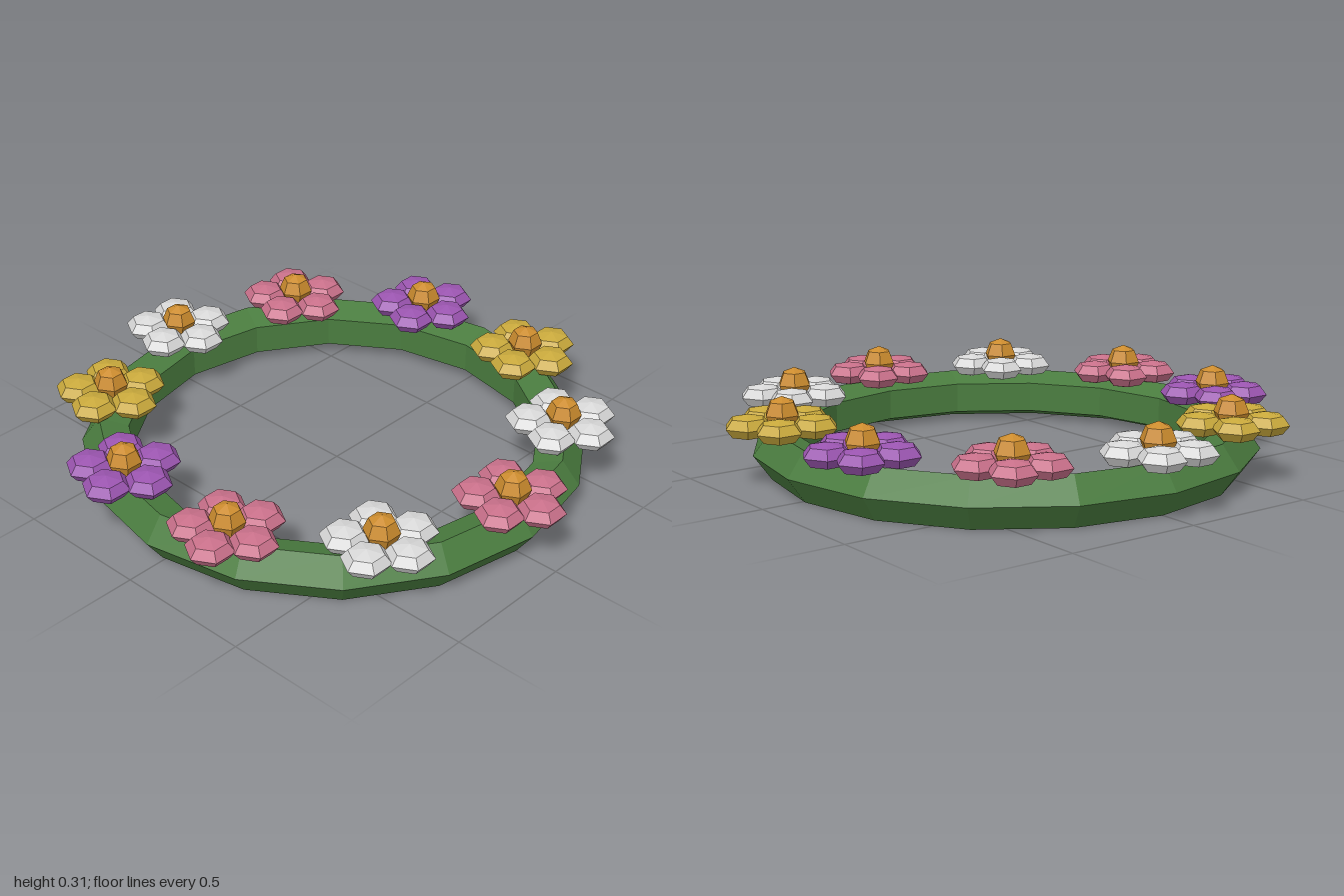
import * as THREE from 'three';

const flat = (name, color) => {
  const m = new THREE.MeshStandardMaterial({ color });
  m.name = name;
  m.flatShading = true;
  return m;
};

export function createModel() {
  const green = flat('leaf green', 0x4a7c3f);
  const orange = flat('flower centre orange', 0xcc8c2e);
  const pink = flat('petal pink', 0xc9708a);
  const white = flat('petal white', 0xd8d8d8);
  const purple = flat('petal purple', 0x9b55b0);
  const yellow = flat('petal yellow', 0xc9a93c);

  const ringRadius = 0.814;
  const wreath = new THREE.Group();
  wreath.name = 'flowerWreath';

  // Five-sided vine ring lying flat
  const ring = new THREE.Mesh(
    new THREE.TorusGeometry(ringRadius, 0.094, 5, 16).rotateX(-Math.PI / 2), green);
  ring.name = 'vineRing';
  ring.position.y = 0.0894;
  wreath.add(ring);

  // Squashed six-sided petal and round flower centre, corners towards +z and -z
  const petalGeometry = new THREE.SphereGeometry(0.086, 6, 4).rotateY(Math.PI / 2).scale(1, 0.52, 1);
  const centreGeometry = new THREE.SphereGeometry(0.064, 6, 4).rotateY(Math.PI / 2);

  function makeFlower(material) {
    const flower = new THREE.Group();
    flower.name = 'flower';
    for (let i = 0; i < 5; i++) {
      const a = (i / 5) * Math.PI * 2;
      const petal = new THREE.Mesh(petalGeometry, material);
      petal.name = 'petal';
      petal.position.set(Math.cos(a) * 0.12, 0, Math.sin(a) * 0.12);
      flower.add(petal);
    }
    const centre = new THREE.Mesh(centreGeometry, orange);
    centre.name = 'flowerCentre';
    centre.position.y = 0.035;
    flower.add(centre);
    return flower;
  }

  // Ten flowers around the ring, all turned the same way
  const colours = [pink, white, pink, purple, yellow, white, pink, purple, yellow, white];
  colours.forEach((material, i) => {
    const a = (i / colours.length) * Math.PI * 2;
    const flower = makeFlower(material);
    flower.position.set(Math.cos(a) * ringRadius, 0.212, Math.sin(a) * ringRadius);
    wreath.add(flower);
  });

  wreath.position.x = -0.0115;
  const model = new THREE.Group();
  model.name = 'wreath';
  model.add(wreath);
  return model;
}
